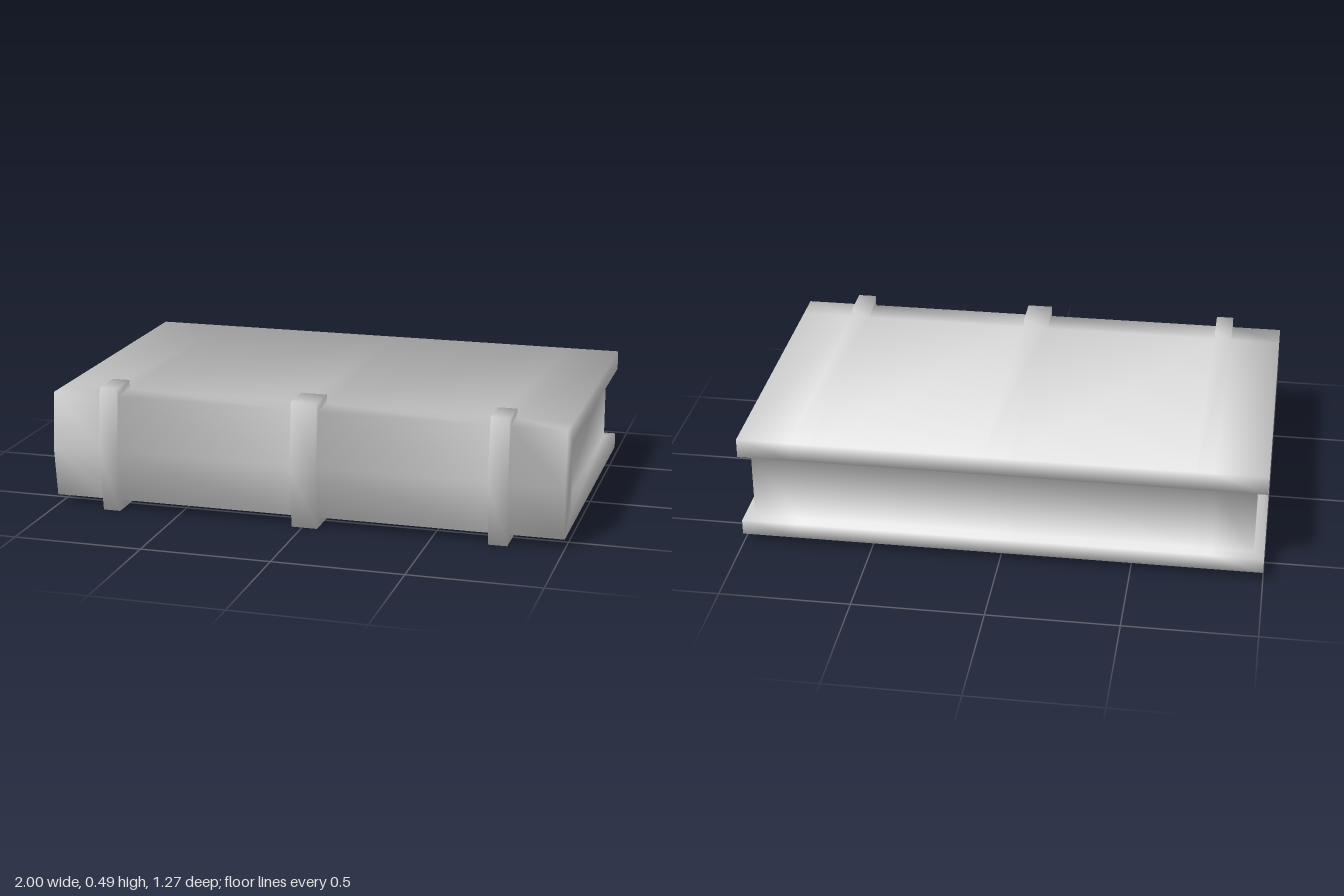
import * as THREE from 'three';

const material = new THREE.MeshStandardMaterial({ color: 0xcccccc });

// Column lines along x: odd columns carry the raised bands
const columns = [-1, -0.803, -0.735, -0.04, 0.06, 0.718, 0.79, 1];
// Key depths and heights
const back = -0.637, hinge = 0.47, pageBack = -0.59, pageSide = 0.96;
const bottom = 0.04, pageLow = 0.1, pageHigh = 0.38, top = 0.455;
// Spine and band outlines as [y, z], from the underside round to the top
const spine = [[bottom, hinge], [bottom, 0.59], [0.24, 0.615], [top, 0.59], [top, hinge]];
const band = [[0, hinge], [0, 0.607], [0.24, 0.637], [0.49, 0.607], [0.49, hinge]];

const keyOf = (p) => p.toArray().map((n) => n.toFixed(4)).join();

// Collects triangles by part; corners that meet share one smooth normal.
class Skin {
  triangles = {};
  normals = new Map();

  // Flat polygon as a fan from its first corner
  face(part, points) {
    const p = points.map((c) => new THREE.Vector3(...c));
    for (let i = 1; i < p.length - 1; i++) this.triangle(part, [p[0], p[i], p[i + 1]]);
  }

  // Each triangle bends its corners' normals by the angle it fills there
  triangle(part, t) {
    (this.triangles[part] ??= []).push(...t);
    t.forEach((p, i) => {
      const u = t[(i + 1) % 3].clone().sub(p);
      const v = t[(i + 2) % 3].clone().sub(p);
      const normal = u.clone().cross(v).setLength(u.angleTo(v));
      const key = keyOf(p);
      if (!this.normals.has(key)) this.normals.set(key, new THREE.Vector3());
      this.normals.get(key).add(normal);
    });
  }

  mesh(part) {
    const points = this.triangles[part];
    const normals = points.map((p) => this.normals.get(keyOf(p)).clone().normalize());
    const geometry = new THREE.BufferGeometry().setFromPoints(points);
    geometry.setAttribute('normal', new THREE.Float32BufferAttribute(normals.flatMap((n) => n.toArray()), 3));
    const mesh = new THREE.Mesh(geometry, material);
    mesh.name = part;
    return mesh;
  }
}

// Strips between neighbouring points of a [y, z] outline, from x = a to x = b
function strips(skin, part, a, b, outline) {
  for (let k = 0; k < outline.length - 1; k++) {
    const [p, q] = [outline[k], outline[k + 1]];
    skin.face(part, [[b, ...p], [b, ...q], [a, ...q], [a, ...p]]);
  }
}

// Raised band: outer strips plus a wall down to the spine on each side
function addBand(skin, part, a, b) {
  strips(skin, part, a, b, [spine[0], ...band, spine[4]]);
  for (let k = 0; k < 4; k++) {
    const wall = [spine[k], spine[k + 1], band[k + 1], band[k]];
    skin.face(part, wall.map((p) => [b, ...p]));
    skin.face(part, wall.map((p) => [a, ...p]).reverse());
  }
}

// One column of the boards and the pages' back edge
function addColumn(skin, a, b) {
  const inset = (x) => THREE.MathUtils.clamp(x, -pageSide, pageSide);
  const [c, d] = [inset(a), inset(b)];
  skin.face('cover', [[a, top, hinge], [b, top, hinge], [b, top, back], [a, top, back]]);
  strips(skin, 'cover', a, b, [[top, back], [pageHigh, back]]);
  skin.face('cover', [[b, pageHigh, back], [d, pageHigh, pageBack], [c, pageHigh, pageBack], [a, pageHigh, back]]);
  strips(skin, 'pages', c, d, [[pageHigh, pageBack], [pageLow, pageBack]]);
  skin.face('cover', [[d, pageLow, pageBack], [b, pageLow, back], [a, pageLow, back], [c, pageLow, pageBack]]);
  strips(skin, 'cover', a, b, [[pageLow, back], [bottom, back], [bottom, hinge]]);
}

// One end of the book, mirrored by side
function addEnd(skin, side) {
  const add = (part, points) => {
    const mirrored = points.map(([x, y, z]) => [x * side, y, z]);
    skin.face(part, side > 0 ? mirrored : mirrored.reverse());
  };
  const panel = (part, x, low, high, rear) =>
    add(part, [[x, low, hinge], [x, low, rear], [x, high, rear], [x, high, hinge]]);
  const s = pageSide;

  // Board edges and page edge
  panel('cover', 1, pageHigh, top, back);
  panel('cover', 1, bottom, pageLow, back);
  panel('pages', s, pageLow, pageHigh, pageBack);
  // Inner faces of the boards and of the spine
  add('cover', [[1, pageHigh, hinge], [s, pageHigh, hinge], [s, pageHigh, pageBack], [1, pageHigh, back]]);
  add('cover', [[1, pageLow, hinge], [1, pageLow, back], [s, pageLow, pageBack], [s, pageLow, hinge]]);
  add('cover', [[1, pageLow, hinge], [s, pageLow, hinge], [s, pageHigh, hinge], [1, pageHigh, hinge]]);
  // End of the spine
  const end = (outline) => {
    for (let k = 1; k < outline.length - 1; k++) {
      add('cover', [outline[0], outline[k], outline[k + 1]].map((p) => [1, ...p]));
    }
  };
  end([[pageHigh, hinge], spine[4], spine[3], spine[2], spine[1], [pageLow, hinge]]);
  end([[pageLow, hinge], spine[1], spine[0]]);
}

export function createModel() {
  const skin = new Skin();
  const bandNames = ['spineBandRight', 'spineBandMiddle', 'spineBandLeft'];

  for (let i = 0; i < columns.length - 1; i++) {
    const [a, b] = [columns[i], columns[i + 1]];
    addColumn(skin, a, b);
    if (i % 2) addBand(skin, bandNames[(i - 1) / 2], a, b);
    else strips(skin, 'cover', a, b, spine);
  }
  addEnd(skin, 1);
  addEnd(skin, -1);

  const book = new THREE.Group();
  book.name = 'book';
  for (const part of ['cover', 'pages', ...bandNames]) book.add(skin.mesh(part));
  return book;
}
